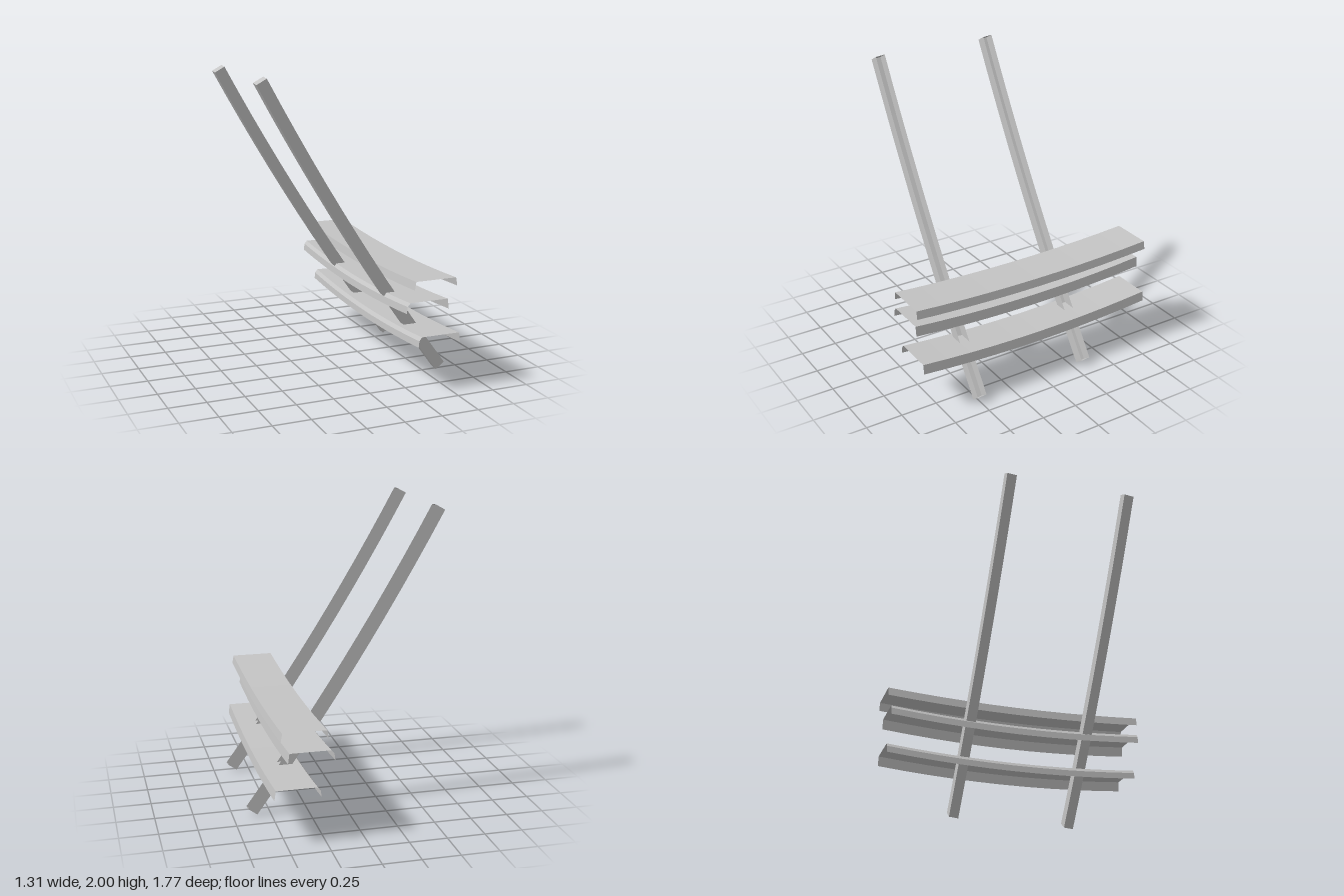
import * as THREE from 'three';

const grey = new THREE.MeshStandardMaterial({ color: 0xc4c4c4, flatShading: true, side: THREE.DoubleSide });
grey.name = 'light grey';

// Skin a list of open cross-sections; optionally close both ends with quads.
function sweep(name, sections, capped) {
  const pos = [];
  const quad = (a, b, c, d) => [a, b, c, a, c, d].forEach((p) => pos.push(p.x, p.y, p.z));
  for (let i = 0; i < sections.length - 1; i++) {
    const s = sections[i], t = sections[i + 1];
    for (let j = 0; j < s.length - 1; j++) quad(s[j], s[j + 1], t[j + 1], t[j]);
  }
  if (capped) {
    quad(...sections[0]);
    quad(...[...sections[sections.length - 1]].reverse());
  }
  const geo = new THREE.BufferGeometry();
  geo.setAttribute('position', new THREE.Float32BufferAttribute(pos, 3));
  geo.computeVertexNormals();
  const mesh = new THREE.Mesh(geo, grey);
  mesh.name = name;
  return mesh;
}

// Sagging plank: thin top with a turned-down lip along each long edge.
function plank(name, { profile, halfLength, sag, z = 0 }) {
  const sections = [];
  const n = 10;
  for (let i = 0; i <= n; i++) {
    const u = (i / n) * 2 - 1;
    const drop = sag * (1 - u * u);
    sections.push(profile.map(([x, y]) => new THREE.Vector3(x, y - drop, z + u * halfLength)));
  }
  return sweep(name, sections, false);
}

// Slightly bowed leaning channel, open on its upper side, with closed ends.
function rail(name, zTop, zBottom) {
  const curve = new THREE.QuadraticBezierCurve3(
    new THREE.Vector3(-0.627, 1.98, zTop),
    new THREE.Vector3(-0.065, 0.955, (zTop + zBottom) / 2),
    new THREE.Vector3(0.622, 0.023, zBottom)
  );
  const sections = [];
  const n = 12, depth = 0.0375, half = 0.0325;
  for (let i = 0; i <= n; i++) {
    const p = curve.getPoint(i / n), t = curve.getTangent(i / n);
    const up = new THREE.Vector3(-t.y, t.x, 0).normalize();
    sections.push([[1, 1], [-1, 1], [-1, -1], [1, -1]].map(([a, b]) => {
      const q = p.clone().addScaledVector(up, a * depth);
      q.z += b * half;
      q.y -= b * 0.003;
      return q;
    }));
  }
  return sweep(name, sections, true);
}

export function createModel() {
  const group = new THREE.Group();
  group.name = 'leaningShelf';

  group.add(rail('frontRail', 0.503, 0.492), rail('backRail', -0.322, -0.332));

  group.add(
    plank('upperPlank', {
      profile: [[0.238, 0.685], [0.247, 0.74], [0.526, 0.74], [0.536, 0.685]],
      halfLength: 0.887, sag: 0.032, z: -0.002,
    }),
    plank('middlePlank', {
      profile: [[0.192, 0.535], [0.198, 0.58], [0.216, 0.602], [0.479, 0.602], [0.488, 0.535]],
      halfLength: 0.87, sag: 0.04,
    }),
    plank('lowerPlank', {
      profile: [[0.28, 0.303], [0.284, 0.345], [0.302, 0.368], [0.566, 0.368], [0.575, 0.303]],
      halfLength: 0.87, sag: 0.04,
    })
  );
  return group;
}
